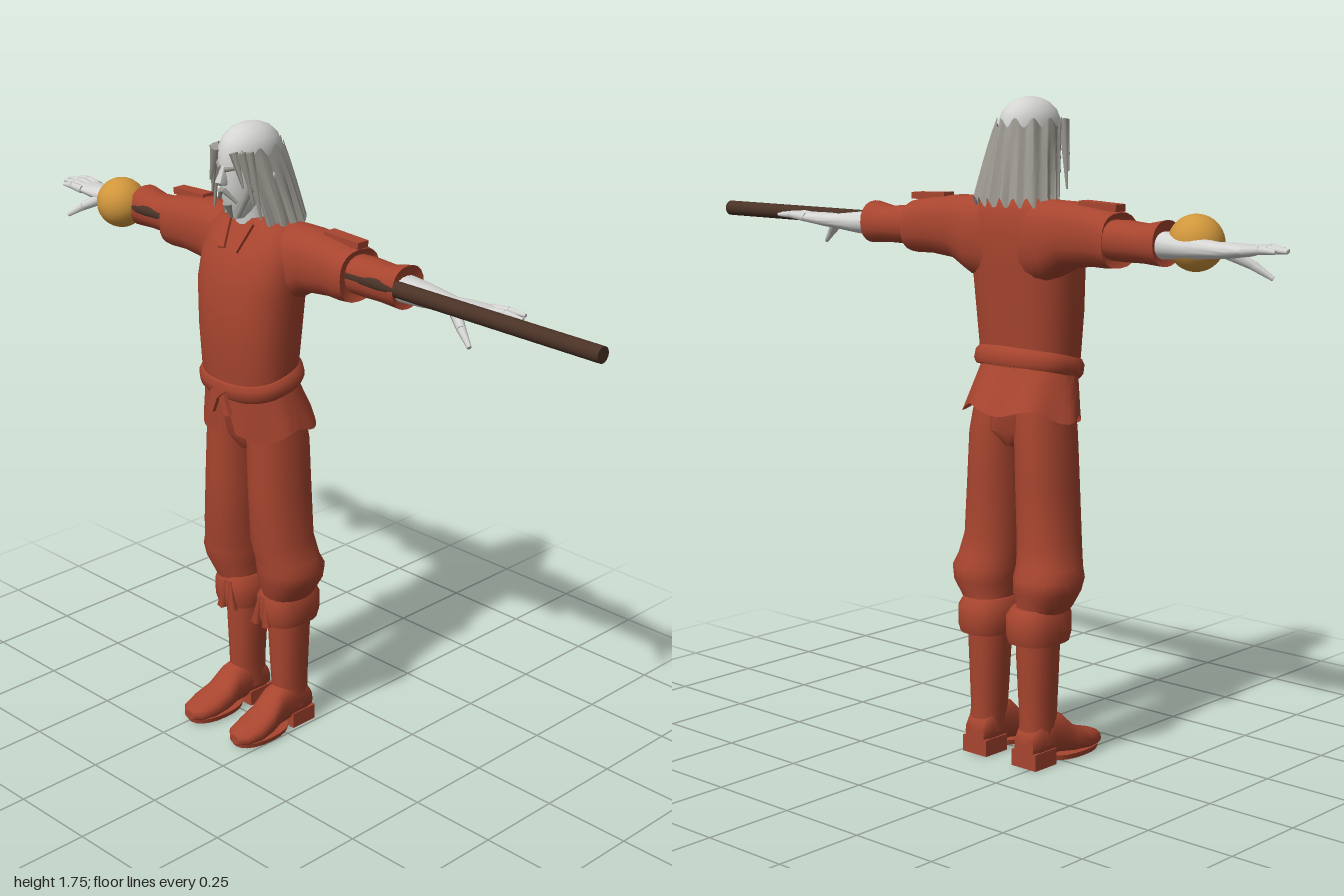
import * as THREE from 'three';
import { toCreasedNormals } from 'three/addons/utils/BufferGeometryUtils.js';

const mat = (name, color, side = THREE.DoubleSide) => {
  const m = new THREE.MeshStandardMaterial({ color, side });
  m.name = name;
  return m;
};
const V = (p) => new THREE.Vector3(...p);

// Grid surface from f(u, v); faces are turned outward by signed volume
function surface(nu, nv, f, crease = 0.75) {
  const pos = [], idx = [];
  for (let i = 0; i <= nu; i++) for (let j = 0; j <= nv; j++) pos.push(...f(i / nu, j / nv));
  for (let i = 0; i < nu; i++) for (let j = 0; j < nv; j++) {
    const a = i * (nv + 1) + j, b = a + nv + 1;
    idx.push(a, b, a + 1, b, b + 1, a + 1);
  }
  const at = (k) => new THREE.Vector3().fromArray(pos, k * 3);
  const mid = new THREE.Box3().setFromArray(pos).getCenter(new THREE.Vector3());
  let vol = 0;
  for (let k = 0; k < idx.length; k += 3) {
    const [a, b, c] = [0, 1, 2].map((n) => at(idx[k + n]).sub(mid));
    vol += a.dot(b.cross(c));
  }
  if (vol < 0) idx.reverse();
  const g = new THREE.BufferGeometry();
  g.setAttribute('position', new THREE.Float32BufferAttribute(pos, 3));
  g.setIndex(idx);
  return toCreasedNormals(g, crease);
}

// Closed loft; each ring is [along, centre1, centre2, radius1, radius2]
function loft(axis, rings, { s = 1, n = 20, p = 0.9 } = {}) {
  const first = rings[0], last = rings[rings.length - 1];
  const all = [[...first.slice(0, 3), 0, 0], ...rings, [...last.slice(0, 3), 0, 0]];
  const pw = (x) => Math.sign(x) * Math.abs(x) ** p;
  return surface(all.length - 1, n, (u, v) => {
    const [t, c1, c2, r1, r2] = all[Math.round(u * (all.length - 1))];
    const a = (v === 1 ? 0 : v) * Math.PI * 2;
    const A = c1 + r1 * pw(Math.cos(a)), B = c2 + r2 * pw(Math.sin(a));
    if (axis === 'x') return [s * t, A, B];
    return axis === 'y' ? [s * A, t, B] : [s * A, B, t];
  });
}

export function createModel() {
  const cloth = mat('red cloth', 0xa8452f);
  const skin = mat('pale skin', 0xd4d4d2);
  const hair = mat('grey hair', 0x9d9a92);
  const wood = mat('dark wood', 0x4a3226, THREE.FrontSide);
  const amber = mat('amber', 0xd0963c, THREE.FrontSide);

  const model = new THREE.Group();
  const body = new THREE.Group();
  body.name = 'figure';
  body.position.x = -0.14;
  model.add(body);

  const add = (name, geo, m, parent = body) => {
    const mesh = new THREE.Mesh(geo, m);
    mesh.name = name;
    parent.add(mesh);
    return mesh;
  };
  // Tapered rod between two points
  const rod = (name, a, b, r1, r2, m, n = 8) => {
    const d = V(b).sub(V(a));
    const mesh = add(name, new THREE.CylinderGeometry(r2, r1, d.length(), n), m);
    mesh.position.copy(V(a)).addScaledVector(d, 0.5);
    mesh.quaternion.setFromUnitVectors(new THREE.Vector3(0, 1, 0), d.normalize());
    return mesh;
  };
  const box = (name, size, at, m, rot = [0, 0, 0]) => {
    const mesh = add(name, new THREE.BoxGeometry(...size), m);
    mesh.position.set(...at);
    mesh.rotation.set(...rot);
    return mesh;
  };

  // Staff with an orb, passing behind the chest
  const staff = add('staff', new THREE.CylinderGeometry(0.021, 0.021, 1.7, 16), wood, model);
  staff.rotation.z = Math.PI / 2;
  staff.position.set(0.15, 1.41, -0.03);
  add('orb', new THREE.SphereGeometry(0.07, 32, 20), amber, model).position.set(-0.7, 1.41, -0.03);

  // Shirt
  add('shirt', loft('y', [
    [1.0, 0, 0, 0.13, 0.095], [1.08, 0, 0.005, 0.137, 0.105], [1.2, 0, 0.003, 0.147, 0.112],
    [1.32, 0, -0.003, 0.155, 0.115], [1.4, 0, -0.017, 0.158, 0.105], [1.45, 0, -0.028, 0.15, 0.09],
    [1.485, 0, -0.035, 0.125, 0.072], [1.505, 0, -0.03, 0.07, 0.06]], { n: 32, p: 0.82 }), cloth);

  // Flared shirt tail, split at the front
  add('shirtTail', surface(6, 48, (u, v) => {
    const gap = 0.04 + 0.2 * u, a = gap + v * (2 * Math.PI - 2 * gap);
    const c = Math.cos(a), low = 0.93 - 0.02 * c + 0.012 * Math.sin(5 * a + 1);
    const fold = 1 + 0.03 * u * Math.sin(7 * a);
    return [(0.139 + 0.033 * u) * Math.sin(a) * fold, 1.06 + (low - 1.06) * u,
      0.002 - 0.03 * u + (0.106 + 0.022 * u) * c * fold];
  }), cloth);

  // Sash, lower in front, with a knot
  const sash = add('sash', loft('y', [
    [-0.025, 0, 0, 0.143, 0.112], [-0.012, 0, 0, 0.151, 0.119],
    [0.012, 0, 0, 0.15, 0.118], [0.025, 0, 0, 0.141, 0.111]], { n: 32, p: 0.85 }), cloth);
  sash.position.set(0, 1.065, 0);
  sash.rotation.x = 0.24;
  box('sashKnot', [0.035, 0.03, 0.025], [0, 1.04, 0.118], cloth, [0, 0, 0.78]);

  // Trunks joining the legs
  add('trunks', loft('y', [[0.85, 0, -0.025, 0.03, 0.06], [0.89, 0, -0.025, 0.1, 0.085],
    [1.03, 0, -0.01, 0.13, 0.095]]), cloth);
  add('neck', loft('y', [[1.44, 0, -0.02, 0.055, 0.055], [1.52, 0, -0.01, 0.045, 0.05],
    [1.58, 0, 0, 0.045, 0.055]]), skin);

  for (const s of [1, -1]) {
    const side = s > 0 ? 'left' : 'right';
    const P = (x, y, z) => [s * x, y, z];

    // Collar lapel and sash ends
    box(side + 'Lapel', [0.022, 0.085, 0.008], P(0.034, 1.46, 0.06), cloth, [-0.55, 0, -s * 0.22]);
    box(side + 'SashEnd', [0.022, 0.07, 0.012], P(0.02, 1.01, 0.117), cloth, [0, 0, s * 0.4]);

    // Sleeves: wide upper sleeve with folded hem, narrow lower sleeve
    add(side + 'UpperSleeve', loft('x', [
      [0.05, 1.38, -0.04, 0.112, 0.075], [0.13, 1.392, -0.05, 0.103, 0.077],
      [0.19, 1.41, -0.052, 0.084, 0.075], [0.27, 1.41, -0.053, 0.076, 0.07],
      [0.32, 1.406, -0.054, 0.073, 0.075], [0.345, 1.404, -0.055, 0.069, 0.073],
      [0.335, 1.404, -0.058, 0.055, 0.056]], { s, p: 0.8 }), cloth);
    add(side + 'LowerSleeve', loft('x', [
      [0.31, 1.405, -0.062, 0.05, 0.052], [0.38, 1.405, -0.063, 0.052, 0.053],
      [0.44, 1.403, -0.065, 0.049, 0.053], [0.5, 1.407, -0.067, 0.057, 0.058],
      [0.495, 1.405, -0.067, 0.045, 0.047]], { s }), cloth);
    box(side + 'ShoulderStrap', [0.12, 0.018, 0.038], P(0.29, 1.487, -0.06), cloth, [0, 0, -s * 0.04]);

    // Forearm and hand
    add(side + 'Forearm', loft('x', [
      [0.47, 1.403, -0.067, 0.036, 0.044], [0.56, 1.401, -0.067, 0.029, 0.04],
      [0.65, 1.4, -0.066, 0.02, 0.028], [0.69, 1.402, -0.067, 0.019, 0.037],
      [0.75, 1.406, -0.07, 0.014, 0.041], [0.765, 1.406, -0.07, 0.009, 0.036]], { s }), skin);
    [0.815, 0.845, 0.86, 0.845].forEach((tip, i) => {
      const z = -0.037 - i * 0.021, dz = (1.5 - i) * 0.006;
      const mid = P((0.75 + tip) / 2, 1.412, z + dz * 0.6);
      rod(side + 'FingerBase' + (i + 1), P(0.745, 1.406, z), mid, 0.012, 0.01, skin);
      rod(side + 'FingerTip' + (i + 1), mid, P(tip, 1.41, z + dz), 0.01, 0.005, skin);
    });
    rod(side + 'ThumbBase', P(0.665, 1.398, -0.055), P(0.72, 1.366, -0.02), 0.018, 0.012, skin);
    rod(side + 'ThumbTip', P(0.72, 1.366, -0.02), P(0.765, 1.335, 0), 0.012, 0.006, skin);

    // Baggy trouser leg gathered below the knee
    add(side + 'TrouserLeg', loft('y', [
      [0.41, 0.088, -0.05, 0.06, 0.075], [0.435, 0.098, -0.045, 0.068, 0.078],
      [0.475, 0.105, -0.045, 0.082, 0.094], [0.51, 0.108, -0.042, 0.088, 0.096],
      [0.54, 0.103, -0.034, 0.082, 0.09], [0.6, 0.093, -0.023, 0.077, 0.091],
      [0.75, 0.085, -0.022, 0.073, 0.093], [0.88, 0.079, -0.022, 0.07, 0.093],
      [0.98, 0.068, -0.015, 0.066, 0.088]], { s }), cloth);

    // Boot with turned-down cuff
    add(side + 'BootCuff', loft('y', [
      [0.35, 0.085, -0.055, 0.05, 0.06], [0.337, 0.085, -0.055, 0.068, 0.084],
      [0.36, 0.085, -0.055, 0.073, 0.091], [0.41, 0.085, -0.055, 0.073, 0.09],
      [0.432, 0.087, -0.052, 0.062, 0.077]], { s, p: 0.8 }), cloth);
    for (const k of [-1, 1])
      rod(side + 'CuffTie', P(0.07 + k * 0.008, 0.42, 0.03), P(0.07 + k * 0.022, 0.335, 0.035), 0.006, 0.014, cloth, 4);
    add(side + 'BootShaft', loft('y', [
      [0.06, 0.088, -0.063, 0.043, 0.052], [0.14, 0.087, -0.058, 0.042, 0.056],
      [0.2, 0.086, -0.058, 0.046, 0.058], [0.3, 0.085, -0.058, 0.051, 0.062],
      [0.37, 0.085, -0.058, 0.053, 0.064]], { s }), cloth);
    add(side + 'Foot', loft('z', [
      [-0.117, 0.088, 0.06, 0.033, 0.035], [-0.09, 0.088, 0.075, 0.043, 0.053],
      [-0.03, 0.089, 0.08, 0.042, 0.06], [0.01, 0.09, 0.073, 0.044, 0.055],
      [0.05, 0.092, 0.049, 0.049, 0.039], [0.1, 0.095, 0.037, 0.052, 0.029],
      [0.145, 0.095, 0.032, 0.041, 0.021], [0.165, 0.095, 0.03, 0.018, 0.013]], { s, p: 0.8 }), cloth);
    box(side + 'Heel', [0.084, 0.045, 0.085], P(0.088, 0.0225, -0.075), cloth);
    add(side + 'Sole', loft('y', [[0.004, 0.094, 0.065, 0.05, 0.092], [0.018, 0.094, 0.065, 0.053, 0.096]], { s }), cloth);

    // Brow, moustache, whiskers, ear and front locks
    rod(side + 'Brow', P(0.008, 1.642, 0.097), P(0.052, 1.652, 0.07), 0.007, 0.004, hair, 6);
    rod(side + 'Moustache', P(0.003, 1.588, 0.098), P(0.035, 1.555, 0.078), 0.008, 0.004, hair, 6);
    rod(side + 'Whisker', P(0.053, 1.6, 0.045), P(0.018, 1.515, 0.063), 0.012, 0.008, hair, 6);
    add(side + 'Ear', new THREE.SphereGeometry(0.02, 10, 8), skin).position.set(s * 0.067, 1.62, -0.005);
    [[0.035, 0.089, 0.062, 1.6, 0.082], [0.05, 0.078, 0.077, 1.56, 0.062], [0.06, 0.06, 0.088, 1.515, 0.045]]
      .forEach(([x, z, x2, y2, z2]) => rod(side + 'FrontLock', P(x, 1.69, z), P(x2, y2, z2), 0.013, 0.003, hair, 5));
  }

  // Head with bald crown
  add('head', loft('y', [
    [1.505, 0, 0.045, 0.018, 0.02], [1.525, 0, 0.037, 0.034, 0.037], [1.56, 0, 0.02, 0.05, 0.068],
    [1.6, 0, 0.006, 0.06, 0.088], [1.65, 0, 0, 0.066, 0.095], [1.69, 0, 0, 0.067, 0.094],
    [1.715, 0, 0, 0.059, 0.082], [1.735, 0, 0, 0.043, 0.06], [1.746, 0, 0, 0.023, 0.033],
    [1.75, 0, 0, 0.006, 0.01]], { n: 28, p: 1 }), skin);
  add('nose', loft('y', [[1.6, 0, 0.09, 0.012, 0.018], [1.61, 0, 0.095, 0.014, 0.026],
    [1.65, 0, 0.088, 0.006, 0.012]], { n: 8 }), skin);
  rod('chinBeard', [0, 1.55, 0.078], [0, 1.508, 0.064], 0.017, 0.006, hair, 6);

  // Long pleated hair falling from the sides and back of the crown
  add('hair', surface(6, 72, (u, v) => {
    const a = 0.72 + v * (2 * Math.PI - 1.44);
    const pleat = 1 + (0.02 + 0.035 * u) * Math.sin(a * 17);
    const top = 1.685 + 0.012 * Math.sin(a * 11), low = 1.485 + 0.014 * Math.sin(a * 19 + 1);
    const e = u ** 0.85;
    return [(0.07 + 0.046 * e) * Math.sin(a) * pleat, top + (low - top) * u,
      -0.052 * e + (0.1 - 0.009 * e) * Math.cos(a) * pleat];
  }, 0.4), hair);

  return model;
}
